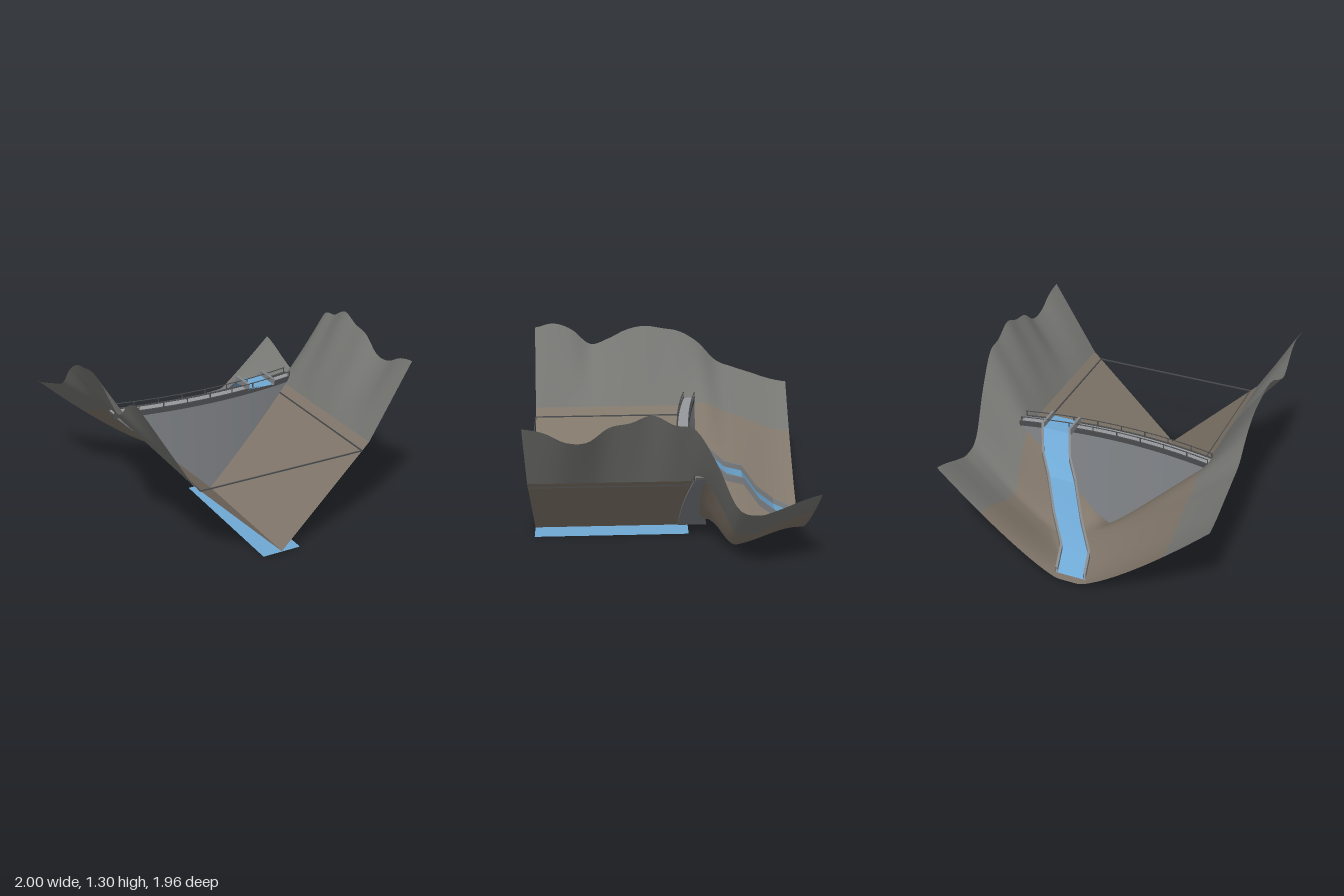
import * as THREE from 'three';
import { toCreasedNormals } from 'three/addons/utils/BufferGeometryUtils.js';

const { lerp, smoothstep, clamp } = THREE.MathUtils;
const END = 0.98;   // half length of the valley
const HALF = 0.72;  // half width of the dam crest
const TOP = 0.73;   // dam crest height

// Ridge heights along the two outer edges, evenly spaced from z = END to -END
const ridge = (heights) => {
  const spline = new THREE.SplineCurve(heights.map((h, i) => new THREE.Vector2(i, h)));
  return (z) => spline.getPoint(clamp((END - z) / (2 * END), 0, 1)).y;
};
const rightRidge = ridge([1.22, 1.19, 1.12, 1.12, 1.22, 1.25, 1.3, 1.23, 1.19, 0.95, 0.63, 0.57, 0.61, 0.67, 0.715]);
const leftRidge = ridge([1.22, 1.25, 1.2, 1.08, 1.12, 1.19, 1.22, 1.2, 1.17, 1.08, 0.93, 0.87, 0.82, 0.77, 0.74]);

// Ground height: V-shaped basin before the dam, winding rounded valley behind it
function ground(x, z) {
  const edge = x > 0 ? rightRidge(z) : leftRidge(z);
  const a = Math.abs(x);
  const basin = a < 0.68 ? a : lerp(0.68, edge, (a - 0.68) / 0.32);
  const centre = lerp(0.02, 0.3, smoothstep(z, -0.95, -0.4));
  const d = x - centre;
  const t = d > 0 ? (d - 0.08) / (0.92 - centre) : (-d - 0.08) / (0.92 + centre);
  const edgeBlend = d > 0 ? rightRidge(z) : leftRidge(z);
  const valley = 0.02 + (edgeBlend - 0.02) * Math.pow(clamp(t, 0, 1), 1.25);
  return lerp(valley, basin, smoothstep(z, -0.48, -0.17)) + 0.004;
}

// Skin between cross-sections, each an array of [x, y, z]
function loft(sections, closed = true) {
  const n = sections[0].length, index = [];
  for (let i = 0; i < sections.length - 1; i++) {
    for (let j = 0; j < (closed ? n : n - 1); j++) {
      const k = (j + 1) % n;
      const a = i * n + j, b = i * n + k, c = a + n, d = b + n;
      index.push(a, c, b, b, c, d);
    }
  }
  const geo = new THREE.BufferGeometry();
  geo.setAttribute('position', new THREE.Float32BufferAttribute(sections.flat(2), 3));
  geo.setIndex(index);
  geo.computeVertexNormals();
  return geo;
}

const range = (n, f) => Array.from({ length: n + 1 }, (_, i) => f(i / n));

export function createModel() {
  const group = new THREE.Group();
  const mat = (color, side = THREE.FrontSide) => new THREE.MeshStandardMaterial({ color, side });
  const concrete = mat(0x7d8084), deckMat = mat(0x96989b), dark = mat(0x4a4c4e);
  const water = mat(0x6fa8d4, THREE.DoubleSide);
  const wallMat = mat(0x85888b, THREE.DoubleSide);
  const add = (name, geo, material, parent = group) => {
    const mesh = new THREE.Mesh(geo, material);
    mesh.name = name;
    parent.add(mesh);
    return mesh;
  };
  const box = (name, size, pos, material, parent) =>
    add(name, new THREE.BoxGeometry(...size), material, parent).position.set(...pos);

  // Terrain: brown valley sides and grey mountain slopes
  const earth = mat(0x81766a, THREE.DoubleSide), rock = mat(0x777874, THREE.DoubleSide);
  const patch = (name, x0, x1, nx, material) => add(name, loft(
    range(nx, (u) => range(84, (v) => {
      const x = lerp(x0, x1, u), z = lerp(END, -END, v);
      return [x, ground(x, z), z];
    })), false), material);
  patch('leftMountain', 0.68, 1, 10, rock);
  patch('leftValleySide', 0, 0.68, 24, earth);
  patch('rightValleySide', -0.68, 0, 24, earth);
  patch('rightMountain', -1, -0.68, 10, rock);

  // Dam wall: arched in plan, thicker towards the base
  const bow = (x) => -0.075 - 0.08 * (x / HALF) ** 2;
  const back = (x, y) => bow(x) - 0.085 - 0.13 * (1 - y / TOP);
  const wall = range(48, (u) => {
    const x = lerp(-HALF, HALF, u), y = Math.max(0, Math.abs(x) - 0.012);
    return [[x, y, bow(x)], [x, TOP, bow(x)], [x, TOP, back(x, TOP)], [x, y, back(x, y)]];
  });
  add('damWall', toCreasedNormals(loft(wall), 0.5), concrete);

  // Crest road with raised kerbs
  const strip = (name, z0, z1, y0, y1, material) => add(name, toCreasedNormals(loft(
    range(40, (u) => {
      const x = lerp(-0.73, 0.73, u), z = bow(x);
      return [[x, y0, z + z0], [x, y1, z + z0], [x, y1, z + z1], [x, y0, z + z1]];
    })), 0.5), material);
  strip('crestRoad', 0.002, -0.087, 0.705, 0.733, deckMat);
  strip('frontKerb', 0.005, -0.006, 0.7, 0.74, dark);
  strip('backKerb', -0.079, -0.09, 0.7, 0.74, dark);

  // Railings on both sides of the crest
  for (const [side, off] of [['front', 0], ['back', -0.085]]) {
    const railing = new THREE.Group();
    railing.name = side + 'Railing';
    group.add(railing);
    const path = new THREE.CatmullRomCurve3(range(12, (u) => {
      const x = lerp(-HALF, HALF, u);
      return new THREE.Vector3(x, 0.775, bow(x) + off);
    }));
    add('rail', new THREE.TubeGeometry(path, 40, 0.004, 6), dark, railing);
    for (let i = -4; i <= 4; i++) {
      const x = Math.min(Math.abs(i) * 0.183, 0.715) * Math.sign(i);
      box('post', [0.007, 0.045, 0.007], [x, 0.754, bow(x) + off], dark, railing);
    }
  }

  // Spillway: stepped chute from the crest to the river bed
  const chute = [
    [0.43, 0.742, -0.085], [0.43, 0.742, -0.26], [0.37, 0.6, -0.39], [0.27, 0.52, -0.52],
    [0.17, 0.3, -0.65], [0.05, 0.14, -0.79], [0.02, 0.05, -0.94],
  ];
  const chuteStrip = (name, x0, x1, y0, y1, material) => add(name, toCreasedNormals(loft(
    chute.map(([x, y, z]) => [
      [x + x0, y + y0, z], [x + x0, y + y1, z], [x + x1, y + y1, z], [x + x1, y + y0, z],
    ])), 0.3), material);
  chuteStrip('spillwayWater', -0.098, 0.098, -0.008, 0, water);
  chuteStrip('spillwayRightWall', -0.115, -0.097, -0.012, 0.038, wallMat);
  chuteStrip('spillwayLeftWall', 0.097, 0.115, -0.012, 0.038, wallMat);

  // Waterline frame around the basin
  const level = 0.63, rimX = 0.625;
  box('frontWaterline', [2 * rimX, 0.008, 0.008], [0, level, END], dark);
  for (const s of [-1, 1]) {
    box('sideWaterline', [0.008, 0.008, 1.11], [s * rimX, level, 0.425], dark);
  }

  // Water sheet under the basin
  const sheet = add('waterSheet', new THREE.PlaneGeometry(0.29, 1.13), water);
  sheet.rotation.x = -Math.PI / 2;
  sheet.position.set(0, 0.001, 0.415);

  return group;
}
